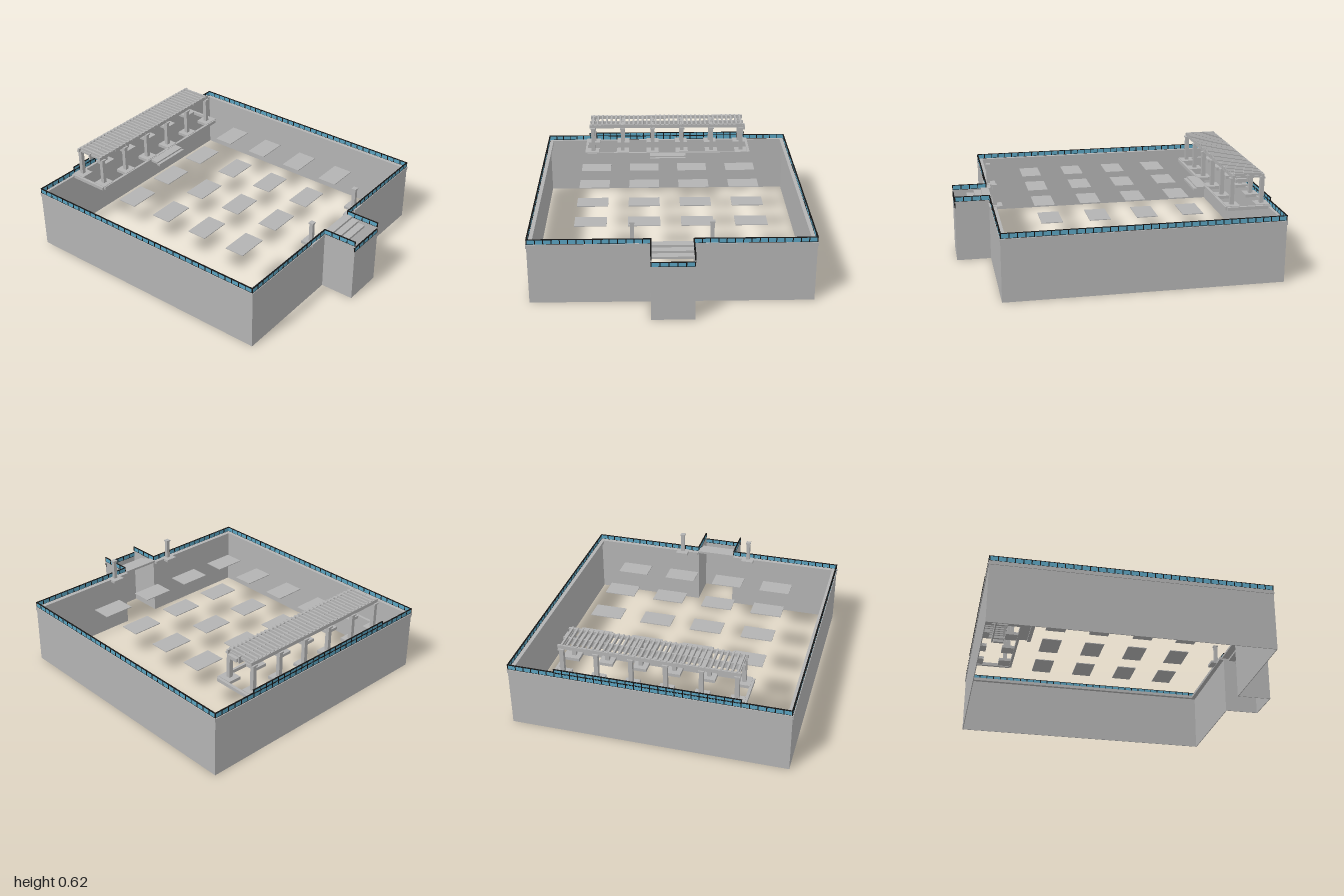
import * as THREE from 'three';

export function createModel() {
  const model = new THREE.Group();
  const concrete = new THREE.MeshStandardMaterial({ name: 'concrete grey', color: 0xb3b3b3 });
  const glass = new THREE.MeshStandardMaterial({ name: 'glass blue', color: 0x5aa3c0 });
  const frame = new THREE.MeshStandardMaterial({ name: 'frame black', color: 0x141414 });

  // Box given by its extents on each axis
  function box(name, material, x0, x1, y0, y1, z0, z1, parent = model) {
    const mesh = new THREE.Mesh(new THREE.BoxGeometry(x1 - x0, y1 - y0, z1 - z0), material);
    mesh.position.set((x0 + x1) / 2, (y0 + y1) / 2, (z0 + z1) / 2);
    mesh.name = name;
    parent.add(mesh);
    return mesh;
  }

  // Upright slab along an axis-aligned line on the plan
  function slab(name, material, [xa, za], [xb, zb], y0, y1, t, parent = model) {
    return box(name, material, Math.min(xa, xb) - t / 2, Math.max(xa, xb) + t / 2, y0, y1,
      Math.min(za, zb) - t / 2, Math.max(za, zb) + t / 2, parent);
  }

  // Glass railing with black rails and uprights
  function railing(name, a, b, y0, y1) {
    const group = new THREE.Group();
    group.name = name;
    slab('glassPanel', glass, a, b, y0, y1, 0.004, group);
    slab('topRail', frame, a, b, y1 - 0.001, y1 + 0.002, 0.009, group);
    slab('bottomRail', frame, a, b, y0 - 0.001, y0 + 0.001, 0.006, group);
    const length = Math.hypot(b[0] - a[0], b[1] - a[1]);
    const n = Math.max(2, Math.round(length / 0.05));
    for (let i = 0; i <= n; i++) {
      const p = [a[0] + (b[0] - a[0]) * i / n, a[1] + (b[1] - a[1]) * i / n];
      slab('upright', frame, p, p, y0, y1, 0.006, group);
    }
    model.add(group);
  }

  // Outer walls: a hollow shell, open at the bottom, with a stair bay in front
  const W = 0.887, B = -0.988, F = 0.77, S = 0.132, E = 0.993;
  const top = 0.405, railTop = 0.435;
  const plan = [[-S, E], [-S, F], [-W, F], [-W, B], [W, B], [W, F], [S, F], [S, E]];
  for (let i = 0; i < plan.length - 1; i++) {
    slab('outerWall', concrete, plan[i], plan[i + 1], 0, top, 0.005);
    railing('railing', plan[i], plan[i + 1], top, railTop);
  }
  slab('bayFrontWall', concrete, plan[0], plan[7], 0, 0.362, 0.005);
  railing('bayFrontRailing', plan[0], plan[7], 0.362, 0.39);

  // Parapet ledge inside the walls and a slim trim outside
  for (const s of [-1, 1]) {
    const span = (a, b) => (s > 0 ? [a, b] : [-b, -a]);
    box('sideLedge', concrete, ...span(W - 0.028, W), 0.385, top, B, F);
    box('sideTrim', concrete, ...span(W, W + 0.007), 0.378, 0.402, B - 0.005, F + 0.005);
    box('frontLedge', concrete, ...span(S, W), 0.385, top, F - 0.032, F);
    box('frontTrim', concrete, ...span(S, W), 0.378, 0.402, F, F + 0.006);
  }
  box('backLedge', concrete, -W, W, 0.385, top, B, B + 0.022);
  box('backTrim', concrete, -W, W, 0.378, 0.402, B - 0.007, B);

  // Steps descending into the bay
  for (let i = 0; i < 3; i++) {
    const y = 0.41 - i * 0.015;
    box('stairTread', concrete, -S, S, y - 0.015, y, 0.755 + i * 0.048, 0.807 + i * 0.048);
  }

  // Roof panels in a four by four grid
  for (const x of [-0.513, -0.172, 0.167, 0.51]) {
    for (const z of [-0.47, -0.175, 0.125, 0.425]) {
      box('roofPanel', concrete, x - 0.103, x + 0.103, 0.385, 0.39, z - 0.066, z + 0.066);
    }
  }

  // Pair of posts beside the entrance
  for (const x of [-0.245, 0.245]) {
    box('entrancePostBase', concrete, x - 0.042, x + 0.042, 0.39, 0.407, 0.698, 0.782);
    box('entrancePost', concrete, x - 0.012, x + 0.012, 0.4, 0.535, 0.733, 0.757);
    box('entrancePostCap', concrete, x - 0.016, x + 0.016, 0.533, 0.542, 0.729, 0.761);
  }

  // Pergola base: edge kerbs, front step and raised back railing
  for (const x of [-0.597, 0.597]) {
    box('pergolaSideKerb', concrete, x - 0.009, x + 0.009, 0.39, 0.412, B, -0.7);
  }
  box('pergolaFrontKerb', concrete, -0.59, 0.59, 0.39, 0.412, -0.705, -0.688);
  box('pergolaStep', concrete, -0.13, 0.13, 0.395, 0.41, -0.705, -0.63);
  box('pergolaLowerStep', concrete, -0.13, 0.13, 0.385, 0.4, -0.635, -0.61);
  railing('raisedBackRailing', [-0.583, B], [0.583, B], railTop - 0.005, 0.456);

  // Pergola posts on footings
  const pergola = new THREE.Group();
  pergola.name = 'pergola';
  model.add(pergola);
  for (const x of [-0.547, -0.33, -0.11, 0.105, 0.323, 0.541]) {
    for (const z of [-0.94, -0.742]) {
      box('postFooting', concrete, x - 0.045, x + 0.045, 0.395, 0.415, z - 0.045, z + 0.045, pergola);
      box('pergolaPost', concrete, x - 0.013, x + 0.013, 0.41, 0.582, z - 0.013, z + 0.013, pergola);
      box('postCap', concrete, x - 0.018, x + 0.018, 0.58, 0.59, z - 0.018, z + 0.018, pergola);
    }
    box('crossBeam', concrete, x - 0.01, x + 0.01, 0.585, 0.6, -0.945, -0.737, pergola);
  }

  // Long beams and roof slats
  for (const z of [-0.94, -0.745]) {
    box('longBeam', concrete, -0.57, 0.565, 0.588, 0.612, z - 0.007, z + 0.007, pergola);
  }
  box('middleBeam', concrete, -0.57, 0.565, 0.562, 0.606, -0.845, -0.835, pergola);
  const slats = 34;
  for (let i = 0; i < slats; i++) {
    const x = -0.545 + i * 1.085 / (slats - 1);
    box('roofSlat', concrete, x - 0.006, x + 0.006, 0.595, 0.617, -0.943, -0.737, pergola);
  }
  box('endBracket', concrete, 0.55, 0.573, 0.565, 0.588, -0.83, -0.755, pergola);

  return model;
}
